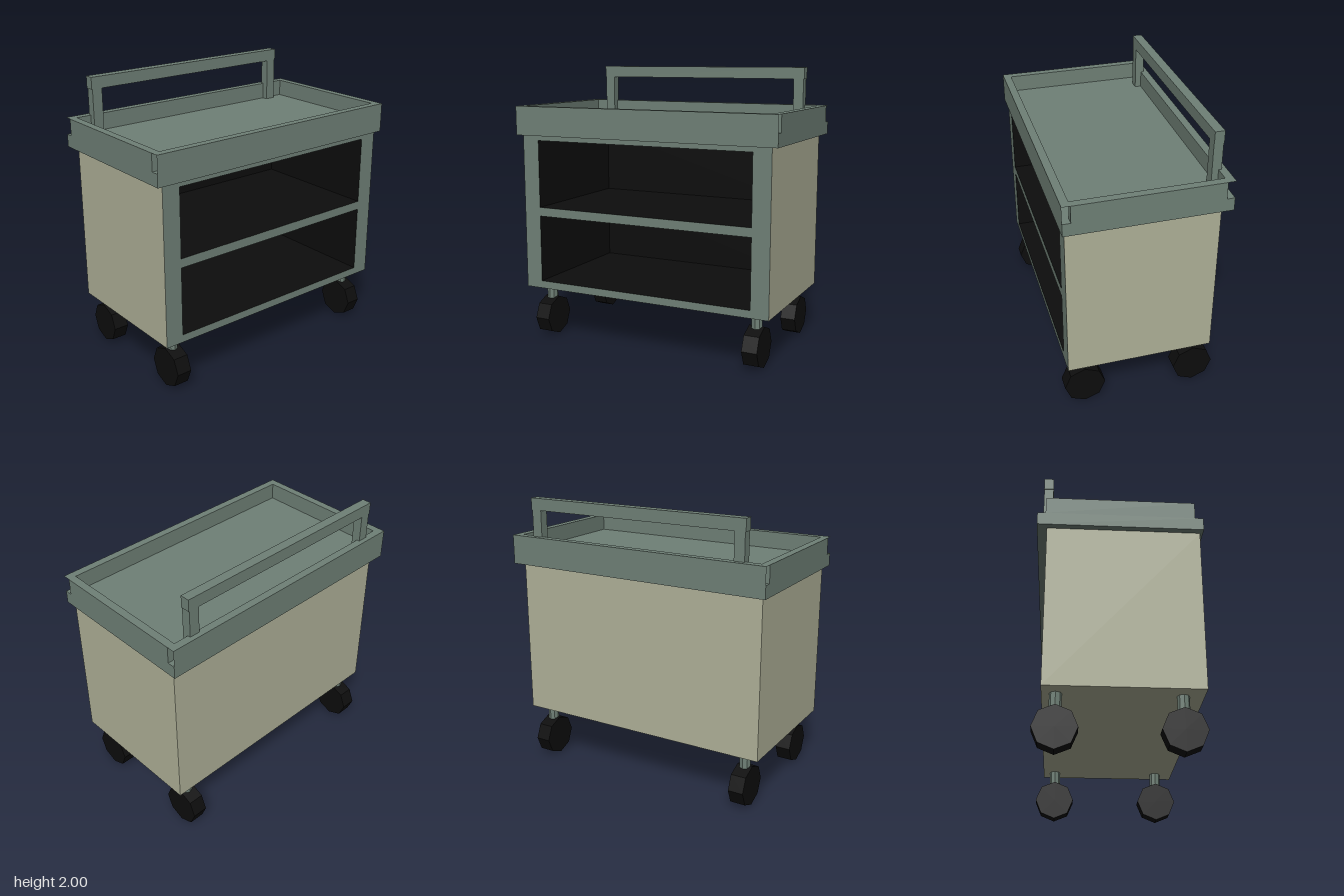
import * as THREE from 'three';

const mat = (name, color) => {
  const m = new THREE.MeshStandardMaterial({ color });
  m.name = name;
  return m;
};

// Box with some faces left out (0..5 = +x -x +y -y +z -z), optionally turned inside out
function openBox(w, h, d, skip, inward = false) {
  const geo = new THREE.BoxGeometry(w, h, d);
  const src = Array.from(geo.index.array);
  const idx = [];
  for (let f = 0; f < 6; f++) {
    if (skip.includes(f)) continue;
    const tri = src.slice(f * 6, f * 6 + 6);
    idx.push(...(inward ? tri.reverse() : tri));
  }
  geo.setIndex(idx);
  geo.clearGroups();
  if (inward) {
    const n = geo.attributes.normal;
    for (let i = 0; i < n.count; i++) n.setXYZ(i, -n.getX(i), -n.getY(i), -n.getZ(i));
  }
  return geo;
}

export function createModel() {
  const green = mat('grey green', 0x6f8076);
  const tan = mat('pale khaki', 0xafb198);
  const black = mat('black', 0x0d0d0d);
  const cart = new THREE.Group();
  cart.name = 'serviceCart';

  const add = (name, geo, material, x, y, z, parent = cart) => {
    const mesh = new THREE.Mesh(geo, material);
    mesh.name = name;
    mesh.position.set(x, y, z);
    parent.add(mesh);
    return mesh;
  };
  // Box given by its limits on each axis
  const block = (name, material, x0, x1, y0, y1, z0, z1, parent) =>
    add(name, new THREE.BoxGeometry(x1 - x0, y1 - y0, z1 - z0), material,
      (x0 + x1) / 2, (y0 + y1) / 2, (z0 + z1) / 2, parent);

  // Cabinet: shell without its front, closed by a frame with two openings
  const X = 0.955, Y0 = 0.38, Y1 = 1.515, ZB = -0.49, ZF = 0.535;
  add('cabinetShell', openBox(2 * X, Y1 - Y0, ZF - ZB, [4]), tan, 0, (Y0 + Y1) / 2, (ZF + ZB) / 2);

  const frame = new THREE.Shape();
  frame.moveTo(-X, Y0).lineTo(X, Y0).lineTo(X, Y1).lineTo(-X, Y1).closePath();
  const hw = 0.825, shelfBack = -0.45;
  for (const [y0, y1] of [[0.435, 0.925], [0.99, 1.48]]) {
    const hole = new THREE.Path();
    hole.moveTo(-hw, y0).lineTo(-hw, y1).lineTo(hw, y1).lineTo(hw, y0).closePath();
    frame.holes.push(hole);
    add('shelfRecess', openBox(2 * hw, y1 - y0, ZF - shelfBack, [4], true), black,
      0, (y0 + y1) / 2, (ZF + shelfBack) / 2);
  }
  add('frontFrame', new THREE.ShapeGeometry(frame), green, 0, 0, ZF);

  // Top tray: slab with raised rim; front and back rims are open at the ends
  const tray = new THREE.Group();
  tray.name = 'tray';
  cart.add(tray);
  block('traySlab', green, -1, 1, 1.515, 1.605, -0.555, 0.555, tray);
  for (const s of [-1, 1]) {
    add('sideRim', new THREE.BoxGeometry(0.055, 0.12, 1), green, s * 0.9725, 1.665, 0, tray);
    add('longRim', openBox(2, 0.12, 0.055, [0, 1]), green, 0, 1.665, s * 0.5275, tray);
  }

  // Push handle
  const handle = new THREE.Group();
  handle.name = 'handle';
  cart.add(handle);
  block('handleBar', green, -0.842, 0.842, 1.915, 2, -0.522, -0.455, handle);
  for (const s of [-1, 1]) {
    add('handlePost', new THREE.BoxGeometry(0.075, 0.315, 0.065), green, s * 0.799, 1.7575, -0.488, handle);
  }

  // Four casters
  const wheelGeo = new THREE.CylinderGeometry(0.145, 0.145, 0.11, 8).toNonIndexed();
  wheelGeo.rotateZ(Math.PI / 2);
  wheelGeo.computeVertexNormals();
  const stemGeo = new THREE.CylinderGeometry(0.04, 0.04, 0.105, 8).toNonIndexed();
  stemGeo.computeVertexNormals();
  for (const sx of [-1, 1]) for (const sz of [-1, 1]) {
    const caster = new THREE.Group();
    caster.name = 'caster';
    caster.position.set(sx * 0.825, 0, sz * 0.4);
    cart.add(caster);
    add('wheel', wheelGeo, black, 0, 0.145, 0, caster);
    add('stem', stemGeo, green, 0, 0.3285, 0, caster);
  }

  return cart;
}
